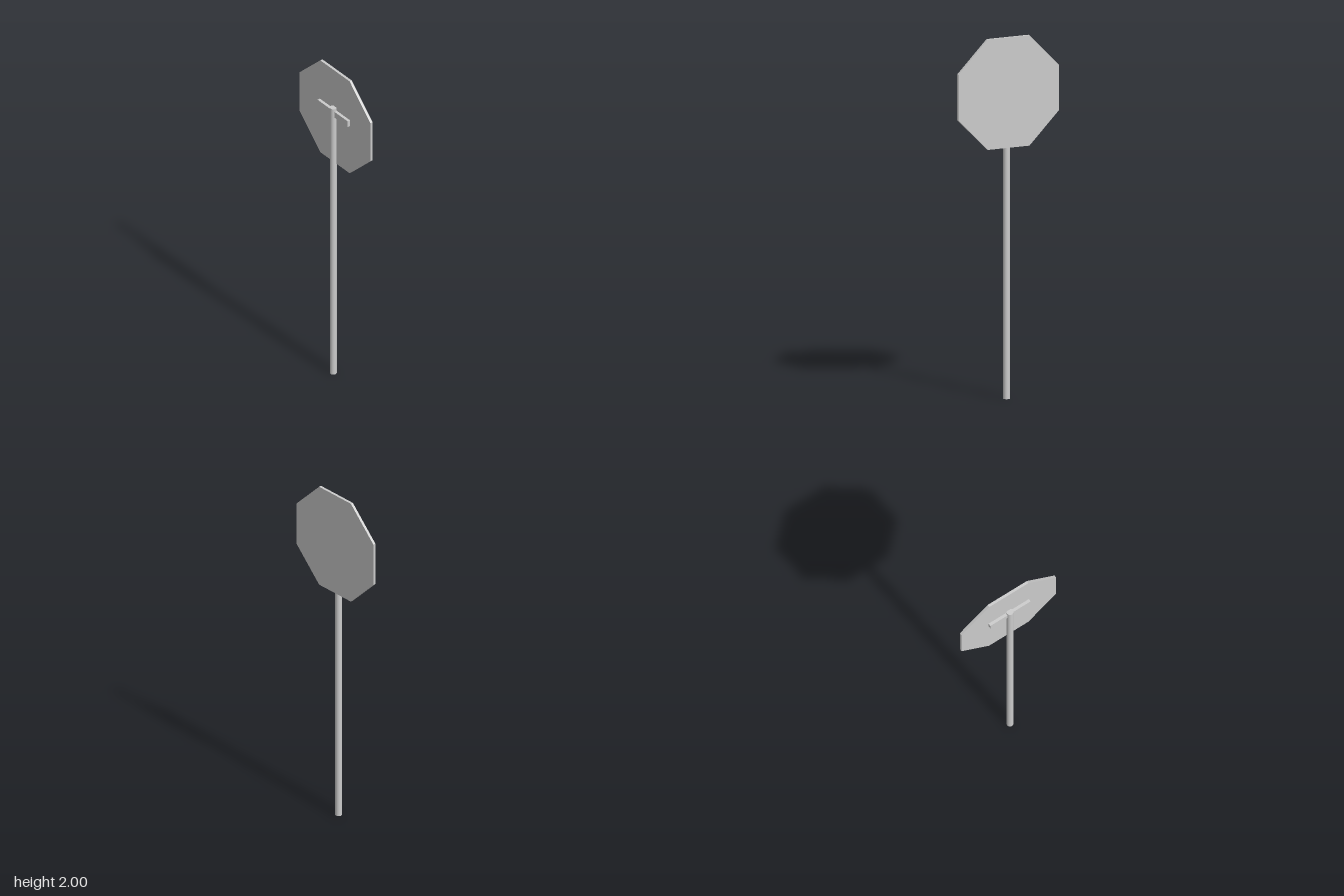
import * as THREE from 'three';

export function createModel() {
  const model = new THREE.Group();
  const material = new THREE.MeshStandardMaterial({ color: 0xcccccc });

  const add = (name, geometry, x, y, z) => {
    const mesh = new THREE.Mesh(geometry, material);
    mesh.name = name;
    mesh.position.set(x, y, z);
    model.add(mesh);
    return mesh;
  };

  // Round pole
  const poleHeight = 1.763;
  add('pole', new THREE.CylinderGeometry(0.019, 0.019, poleHeight, 32), -0.004, poleHeight / 2, 0);

  // Crossbar holding the plate to the pole
  add('bracket', new THREE.BoxGeometry(0.017, 0.038, 0.26), -0.0005, 1.725, 0);

  // Octagonal plate with flat top and bottom edges, facing +x
  const half = 0.305;
  const radius = half / Math.cos(Math.PI / 8);
  const corners = Array.from({ length: 8 }, (_, i) => {
    const a = (i + 0.5) * Math.PI / 4;
    return new THREE.Vector2(Math.cos(a) * radius, Math.sin(a) * radius);
  });
  const plate = new THREE.ExtrudeGeometry(new THREE.Shape(corners), { depth: 0.015, bevelEnabled: false });
  plate.rotateY(Math.PI / 2);
  add('signPlate', plate, 0.0075, 2 - half, 0);

  return model;
}
